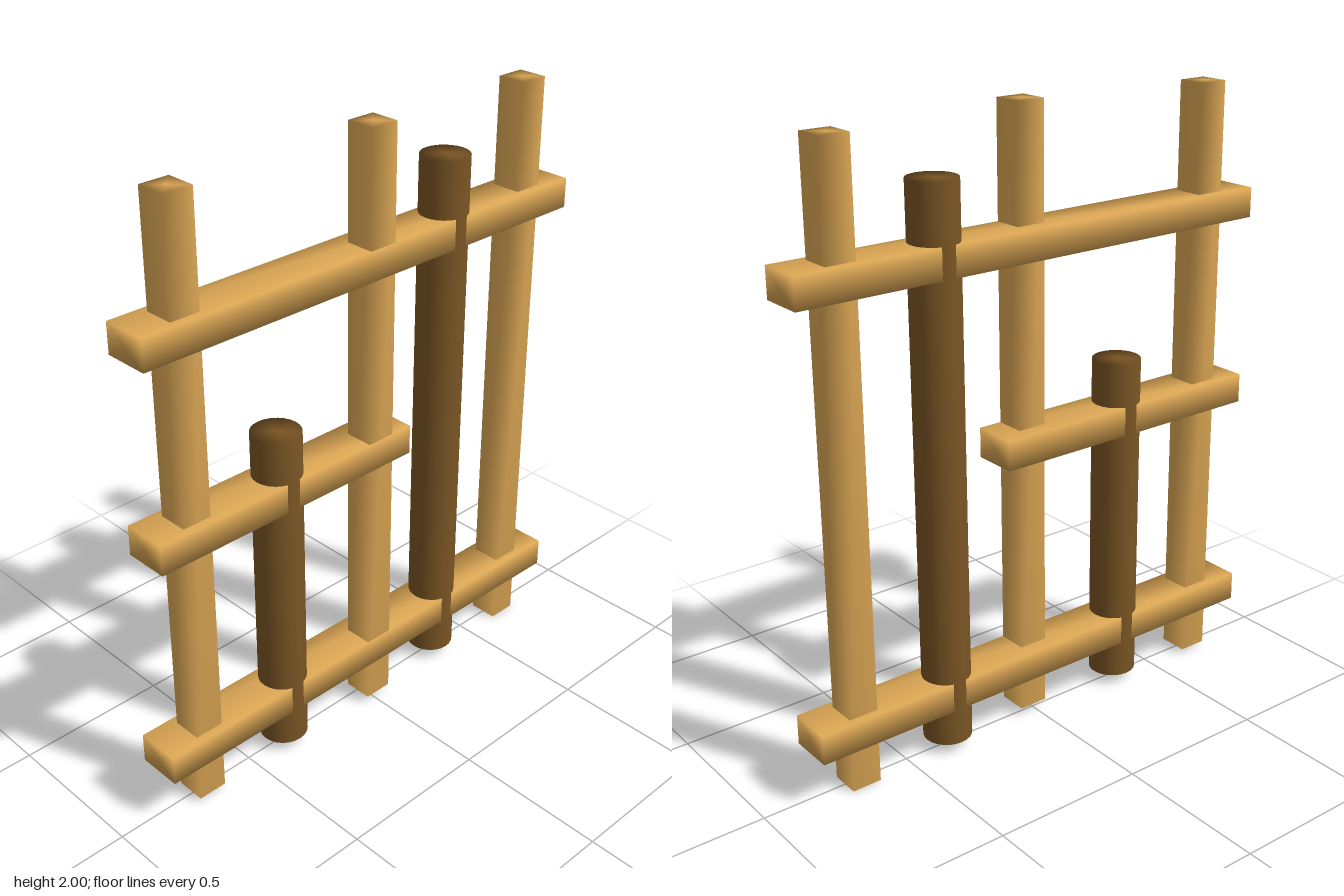
import * as THREE from 'three';
import { mergeVertices } from 'three/addons/utils/BufferGeometryUtils.js';

const lightWood = new THREE.MeshStandardMaterial({ color: 0xdba654 });
lightWood.name = 'lightWood';
const darkWood = new THREE.MeshStandardMaterial({ color: 0x7a5524 });
darkWood.name = 'darkWood';

// Upright prism of the given width and depth, with normals smoothed over all edges
function prism(sides, width, height, depth) {
  const square = sides === 4;
  const radius = square ? Math.SQRT1_2 : 0.5;
  const geometry = new THREE.CylinderGeometry(radius, radius, height, sides);
  if (square) geometry.rotateY(Math.PI / 4);
  geometry.scale(width, 1, depth);
  geometry.deleteAttribute('uv');
  geometry.deleteAttribute('normal');
  const merged = mergeVertices(geometry, 1e-4);
  merged.computeVertexNormals();
  return merged;
}

export function createModel() {
  const model = new THREE.Group();
  model.name = 'woodenLattice';

  const add = (name, geometry, material, x, y, z = 0) => {
    const mesh = new THREE.Mesh(geometry, material);
    mesh.name = name;
    mesh.position.set(x, y, z);
    model.add(mesh);
  };

  // Square posts: x, bottom, top, z
  for (const [name, x, y0, y1, z] of [
    ['leftPost', 0.674, 0.007, 1.984, 0],
    ['middlePost', 0.012, 0.028, 2, 0.025],
    ['rightPost', -0.687, 0.011, 1.986, 0],
  ]) add(name, prism(4, 0.097, y1 - y0, 0.097), lightWood, x, (y0 + y1) / 2, z);

  // Dark round logs: x, bottom, top
  for (const [name, x, y0, y1] of [
    ['tallLog', 0.34, 0.041, 1.82],
    ['shortLog', -0.348, 0.037, 1.148],
  ]) add(name, prism(24, 0.156, y1 - y0, 0.156), darkWood, x, (y0 + y1) / 2);

  // Cross rails: start x, end x, height
  for (const [name, x0, x1, y] of [
    ['topRail', -0.848, 0.832, 1.59],
    ['middleRail', -0.835, 0.138, 0.957],
    ['bottomRail', -0.846, 0.831, 0.207],
  ]) {
    const geometry = prism(4, 0.097, x1 - x0, 0.148).rotateZ(Math.PI / 2);
    add(name, geometry, lightWood, (x0 + x1) / 2, y);
  }

  // The whole lattice leans very slightly
  model.rotation.z = -0.0055;
  return model;
}
